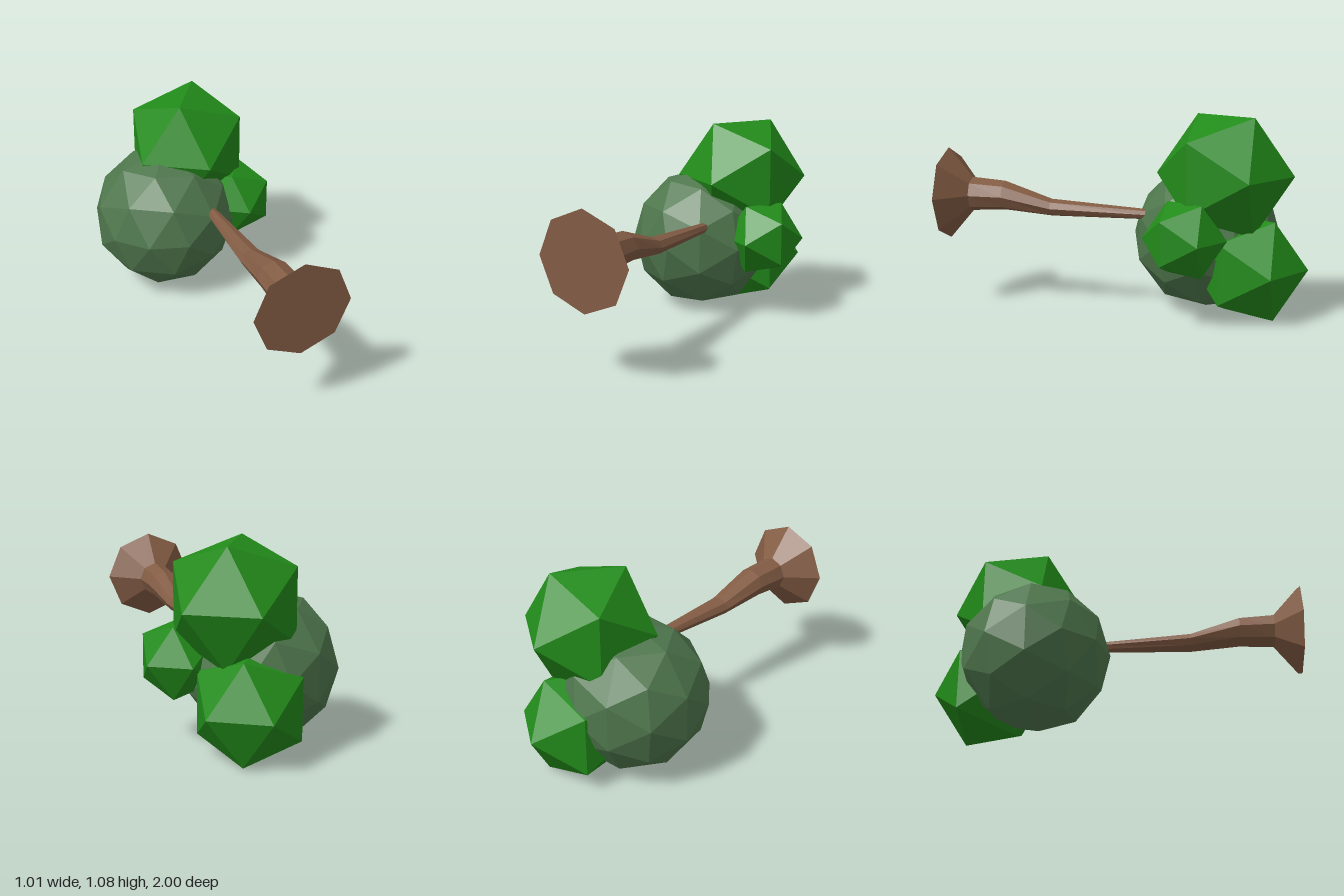
import * as THREE from 'three';

const bark = new THREE.MeshStandardMaterial({ color: 0x835c44, flatShading: true });
const leaf = new THREE.MeshStandardMaterial({ color: 0x228b1a, flatShading: true });
const paleLeaf = new THREE.MeshStandardMaterial({ color: 0x4f774d, flatShading: true });

// Faceted foliage ball with its poles on the z axis
function foliage(name, radius, detail, position, material) {
  const geometry = new THREE.IcosahedronGeometry(radius, detail);
  geometry.rotateX(Math.atan(2 / (1 + Math.sqrt(5))));
  geometry.rotateZ(-Math.PI / 2);
  const mesh = new THREE.Mesh(geometry, material);
  mesh.name = name;
  mesh.position.set(...position);
  return mesh;
}

// Eight-sided trunk lofted through rings of [z, centre x, centre y, radius x, radius y]
function trunkGeometry(rings, sides = 8) {
  const points = [];
  const index = [];
  for (const [z, cx, cy, rx, ry] of rings) {
    for (let i = 0; i < sides; i++) {
      const a = (i / sides) * Math.PI * 2;
      points.push(cx + rx * Math.cos(a), cy + ry * Math.sin(a), z);
    }
  }
  for (let r = 0; r < rings.length - 1; r++) {
    for (let i = 0; i < sides; i++) {
      const a = r * sides + i;
      const b = r * sides + (i + 1) % sides;
      index.push(a, a + sides, b, b, a + sides, b + sides);
    }
  }
  // End caps
  const last = (rings.length - 1) * sides;
  for (let i = 1; i < sides - 1; i++) {
    index.push(0, i, i + 1, last, last + i + 1, last + i);
  }
  const geometry = new THREE.BufferGeometry();
  geometry.setAttribute('position', new THREE.Float32BufferAttribute(points, 3));
  geometry.setIndex(index);
  geometry.computeVertexNormals();
  return geometry;
}

export function createModel() {
  const tree = new THREE.Group();
  tree.name = 'fallenTree';

  // Trunk lies along z, with its flared foot at the front
  const trunk = new THREE.Mesh(trunkGeometry([
    [1.0, 0.055, 0.612, 0.256, 0.256],
    [0.86, 0.055, 0.612, 0.094, 0.094],
    [0.67, 0.055, 0.61, 0.09, 0.081],
    [0.4, 0.055, 0.553, 0.065, 0.047],
    [-0.13, 0.055, 0.537, 0.03, 0.028],
    [-0.2, 0.055, 0.535, 0.028, 0.026],
  ]), bark);
  trunk.name = 'trunk';
  tree.add(trunk);

  // Crown
  tree.add(
    foliage('mainFoliage', 0.405, 1, [-0.12, 0.405, -0.435], paleLeaf),
    foliage('upperFoliage', 0.365, 0, [0.07, 0.77, -0.555], leaf),
    foliage('sideFoliage', 0.222, 0, [0.303, 0.46, -0.38], leaf),
    foliage('lowerFoliage', 0.311, 0, [0.04, 0.27, -0.69], leaf),
  );
  return tree;
}
